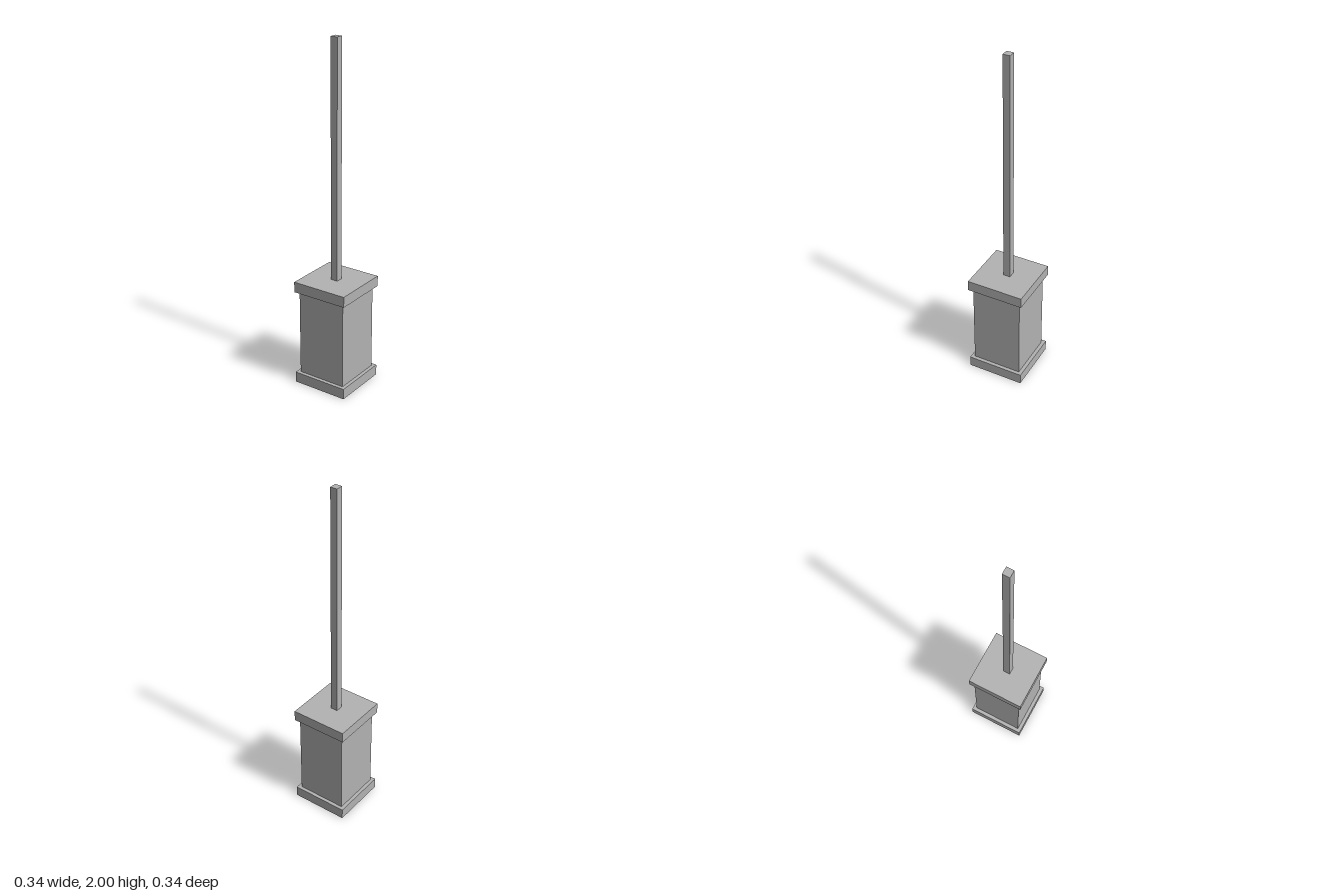
import * as THREE from 'three';

// Box standing on y0; with open = true its underside is left out
function boxBetween(width, y0, y1, open) {
  const geo = new THREE.BoxGeometry(width, y1 - y0, width);
  geo.translate(0, (y0 + y1) / 2, 0);
  if (open) {
    // BoxGeometry orders its faces +x, -x, +y, -y, +z, -z, six indices each
    const index = Array.from(geo.index.array);
    index.splice(18, 6);
    geo.setIndex(index);
    geo.clearGroups();
  }
  return geo;
}

export function createModel() {
  const group = new THREE.Group();
  group.name = 'polePost';

  const grey = new THREE.MeshStandardMaterial({ color: 0xb2b2b2, side: THREE.DoubleSide });
  grey.name = 'grey';

  const add = (name, width, y0, y1, open) => {
    const mesh = new THREE.Mesh(boxBetween(width, y0, y1, open), grey);
    mesh.name = name;
    group.add(mesh);
  };

  // Hollow plinth and cap, open underneath, around a square body
  add('base', 0.336, 0, 0.063, true);
  add('body', 0.294, 0.063, 0.573, true);
  add('cap', 0.336, 0.573, 0.635, true);

  // Slim square pole rising from the cap
  add('pole', 0.042, 0.635, 2, true);

  return group;
}
